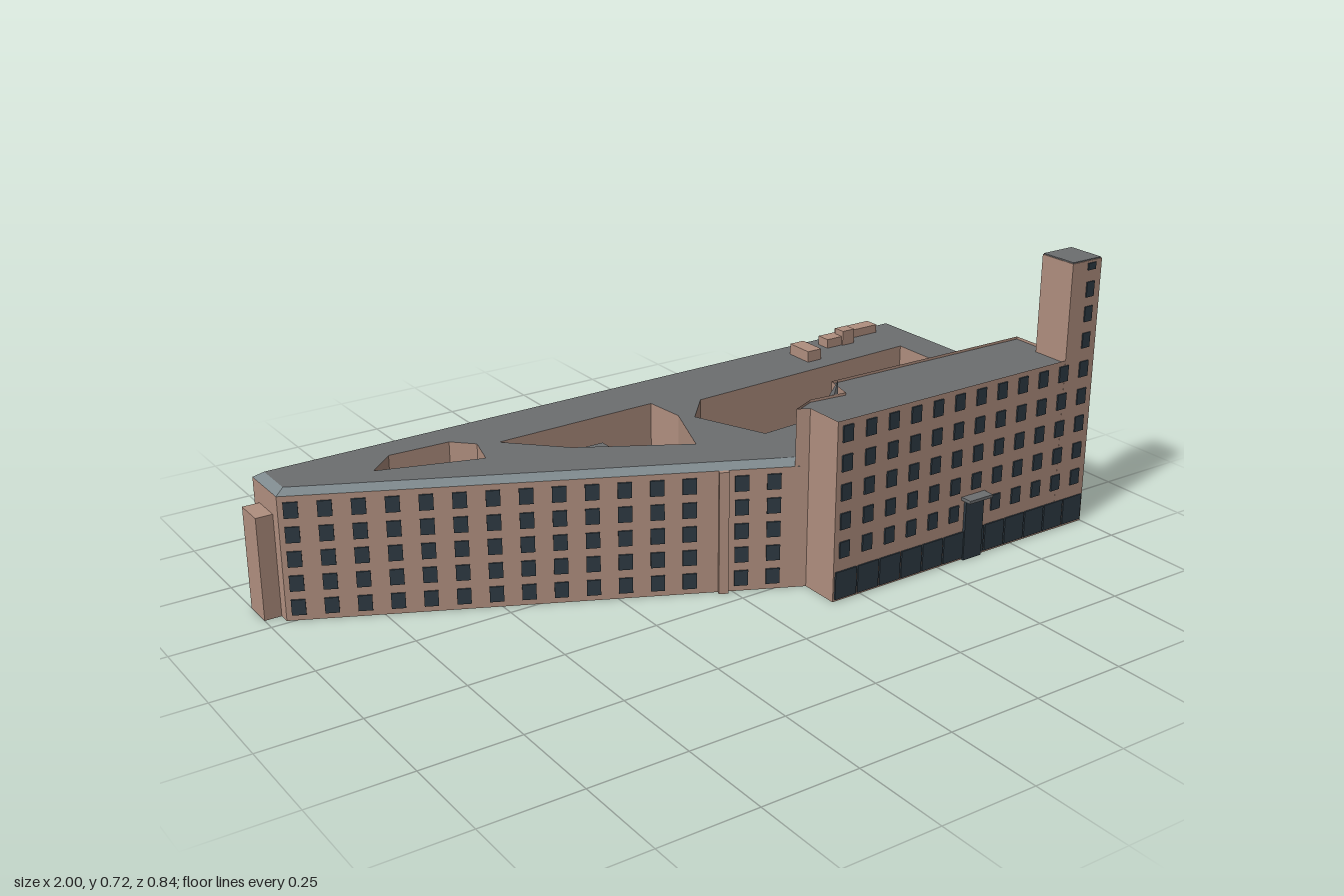
import * as THREE from 'three';
import { mergeGeometries } from 'three/addons/utils/BufferGeometryUtils.js';
import { ConvexGeometry } from 'three/addons/geometries/ConvexGeometry.js';

const mat = (color) => new THREE.MeshStandardMaterial({ color, flatShading: true, side: THREE.DoubleSide });
const brick = mat(0xb08f7f), roofGrey = mat(0x6c6e70), edgeGrey = mat(0x7d888c), glass = mat(0x2f3b44);

const WALL_TOP = 0.32, ROOF = 0.335, WING_TOP = 0.467;

// Plans are [x, z] corners, walked so that the outside lies on the right-hand side
const footprint = [[-0.957, -0.4], [-0.957, -0.26], [0.165, 0.285], [0.165, 0.39], [1, 0.385], [0.995, -0.417]];
const roofPlan = [[-0.935, -0.38], [-0.935, -0.27], [0.165, 0.26], [0.165, 0.38], [0.985, 0.38], [0.975, -0.395]];
const wingPlan = [[0.165, 0.39], [1, 0.385], [1, 0.28], [0.93, 0.27], [0.93, 0.18], [0.32, 0.17],
  [0.3, 0.25], [0.2, 0.24], [0.135, 0.27], [0.165, 0.285]];
const courts = [
  { name: 'smallCourt', floor: 0.25, plan: [[-0.65, -0.305], [-0.72, -0.24], [-0.465, -0.16], [-0.44, -0.25], [-0.49, -0.3]] },
  { name: 'middleCourt', floor: 0.2, plan: [[-0.39, -0.23], [-0.26, -0.1], [0, 0.05], [0.07, -0.13], [0.06, -0.24]] },
  { name: 'largeCourt', floor: 0.08, plan: [[0.18, -0.19], [0.1, -0.1], [0.18, 0.09], [0.88, 0.04], [0.88, -0.22]] },
];

// Turn a geometry built facing +z so that it runs along the edge a -> b
function along(geo, a, b, t, y) {
  const dx = b[0] - a[0], dz = b[1] - a[1], len = Math.hypot(dx, dz);
  return geo.rotateY(Math.atan2(-dz, dx)).translate(a[0] + dx * t / len, y, a[1] + dz * t / len);
}

function wall(a, b, y0, y1) {
  const len = Math.hypot(b[0] - a[0], b[1] - a[1]);
  return along(new THREE.PlaneGeometry(len, y1 - y0), a, b, len / 2, (y0 + y1) / 2);
}

const walls = (plan, y0, y1) => mergeGeometries(plan.map((p, i) => wall(p, plan[(i + 1) % plan.length], y0, y1)));

// Grid of thin panes let through the wall a -> b
function panes(a, b, ts, ys, w, h, depth = 0.008) {
  const list = [];
  for (const t of ts) for (const y of ys) list.push(along(new THREE.BoxGeometry(w, h, depth), a, b, t, y));
  return mergeGeometries(list);
}

const steps = (start, step, n) => Array.from({ length: n }, (_, i) => start + i * step);

// Flat horizontal surface, with optional holes
function slab(plan, y, holes = []) {
  const pts = (p) => p.map(([x, z]) => new THREE.Vector2(x, -z));
  const shape = new THREE.Shape(pts(plan));
  shape.holes = holes.map((h) => new THREE.Path(pts(h)));
  return new THREE.ShapeGeometry(shape).rotateX(-Math.PI / 2).translate(0, y, 0);
}

// Sloping strip between an edge of the wall top and the matching roof edge
function slope(i) {
  const j = (i + 1) % footprint.length, g = new THREE.BufferGeometry();
  const at = ([x, z], y) => [x, y, z];
  const a = at(footprint[i], WALL_TOP), b = at(footprint[j], WALL_TOP);
  const c = at(roofPlan[j], ROOF), d = at(roofPlan[i], ROOF);
  g.setAttribute('position', new THREE.Float32BufferAttribute([a, b, c, a, c, d].flat(), 3));
  g.computeVertexNormals();
  return g;
}

function box(x0, x1, y0, y1, z0, z1) {
  return new THREE.BoxGeometry(x1 - x0, y1 - y0, z1 - z0).translate((x0 + x1) / 2, (y0 + y1) / 2, (z0 + z1) / 2);
}

export function createModel() {
  const model = new THREE.Group();
  const add = (name, geo, material) => {
    const mesh = new THREE.Mesh(geo, material);
    mesh.name = name;
    model.add(mesh);
  };
  const [backLeft, frontLeft, inner, wingLeft, frontRight, backRight] = footprint;
  const rows = steps(0.035, 0.0625, 5), upperRows = rows.slice(1);

  // Main block, open underneath
  add('mainWalls', walls(footprint, 0, WALL_TOP), brick);
  add('roofEdge', mergeGeometries([0, 1, 4, 5].map(slope)), edgeGrey);
  add('mainRoof', slab(roofPlan, ROOF, courts.map((c) => c.plan)), roofGrey);
  add('leftNose', box(-1, -0.955, 0, 0.265, -0.37, -0.29), brick);

  // Sunken courts
  for (const { name, floor, plan } of courts) {
    add(name + 'Walls', walls(plan, floor, ROOF), brick);
    add(name + 'Floor', slab(plan, floor), roofGrey);
  }
  add('courtBlocks', mergeGeometries([
    box(0.37, 0.44, 0.08, 0.22, -0.14, -0.09), box(0.24, 0.46, 0.08, 0.16, -0.04, -0.01),
    box(-0.22, -0.1, 0.2, 0.27, -0.22, -0.17),
  ]), roofGrey);

  // Tall front wing and tower
  add('wingFrontWall', wall(wingLeft, frontRight, 0, WING_TOP), brick);
  add('wingWalls', walls(wingPlan, WALL_TOP - 0.01, WING_TOP), brick);
  add('wingRoof', slab(wingPlan, WING_TOP - 0.007), roofGrey);
  add('tower', box(0.9, 1, 0, 0.72, 0.28, 0.386), brick);
  add('towerRoof', box(0.902, 0.998, 0.72, 0.723, 0.282, 0.384), roofGrey);

  // Windows: slanted front, right side, back, wing front, tower
  const xs = [...steps(-0.93, 0.0697, 13), 0.02, 0.09];
  const slant = Math.hypot(inner[0] - frontLeft[0], inner[1] - frontLeft[1]) / (inner[0] - frontLeft[0]);
  add('slantedFrontWindows', panes(frontLeft, inner, xs.map((x) => (x - frontLeft[0]) * slant), rows, 0.034, 0.04), glass);
  add('rightWindows', panes(frontRight, backRight, steps(0.14, 0.0697, 10), rows, 0.036, 0.043), glass);
  add('backWindows', panes(backRight, backLeft, steps(0.06, 0.0705, 27), upperRows, 0.036, 0.043), glass);
  add('wingWindows', panes(wingLeft, frontRight, steps(0.03, 0.07, 12), steps(0.134, 0.0747, 5), 0.03, 0.042), glass);
  add('towerWindows', panes(wingLeft, frontRight, [0.8], [0.51, 0.58, 0.645], 0.026, 0.04), glass);
  add('towerTopWindow', panes(wingLeft, frontRight, [0.8], [0.705], 0.026, 0.018), glass);

  // Ground-floor glazing
  add('backShopfront', panes(backRight, backLeft, steps(0.06, 0.0705, 27), [0.041], 0.065, 0.066), glass);
  add('wingShopfront', panes(wingLeft, frontRight, steps(0.037, 0.0692, 12), [0.042], 0.065, 0.072), glass);

  // Entrance and canopy
  add('entranceDoor', box(0.58, 0.64, 0, 0.163, 0.38, 0.395), glass);
  add('entranceCanopy', box(0.57, 0.646, 0.166, 0.174, 0.385, 0.419), roofGrey);

  // Pier on the slanted front
  add('frontPier', along(new THREE.BoxGeometry(0.024, WALL_TOP, 0.024), frontLeft, inner,
    (-0.02 - frontLeft[0]) * slant, WALL_TOP / 2), brick);

  // Rooftop structures
  add('roofHousings', mergeGeometries([
    box(0.7, 0.79, ROOF, 0.36, -0.36, -0.32), box(0.78, 0.9, ROOF, 0.358, -0.39, -0.35),
    box(0.585, 0.63, ROOF, 0.365, -0.34, -0.26), box(0.75, 0.79, ROOF, 0.376, -0.35, -0.315),
    box(0.56, 0.64, ROOF, 0.395, 0.12, 0.165),
  ]), brick);
  add('roofSpike', new ConvexGeometry([
    [0.278, 0.5, 0.245], [0.235, ROOF, 0.24], [0.285, ROOF, 0.18], [0.25, ROOF, 0.16], [0.285, ROOF, 0.245],
  ].map((p) => new THREE.Vector3(...p))), roofGrey);

  return model;
}
